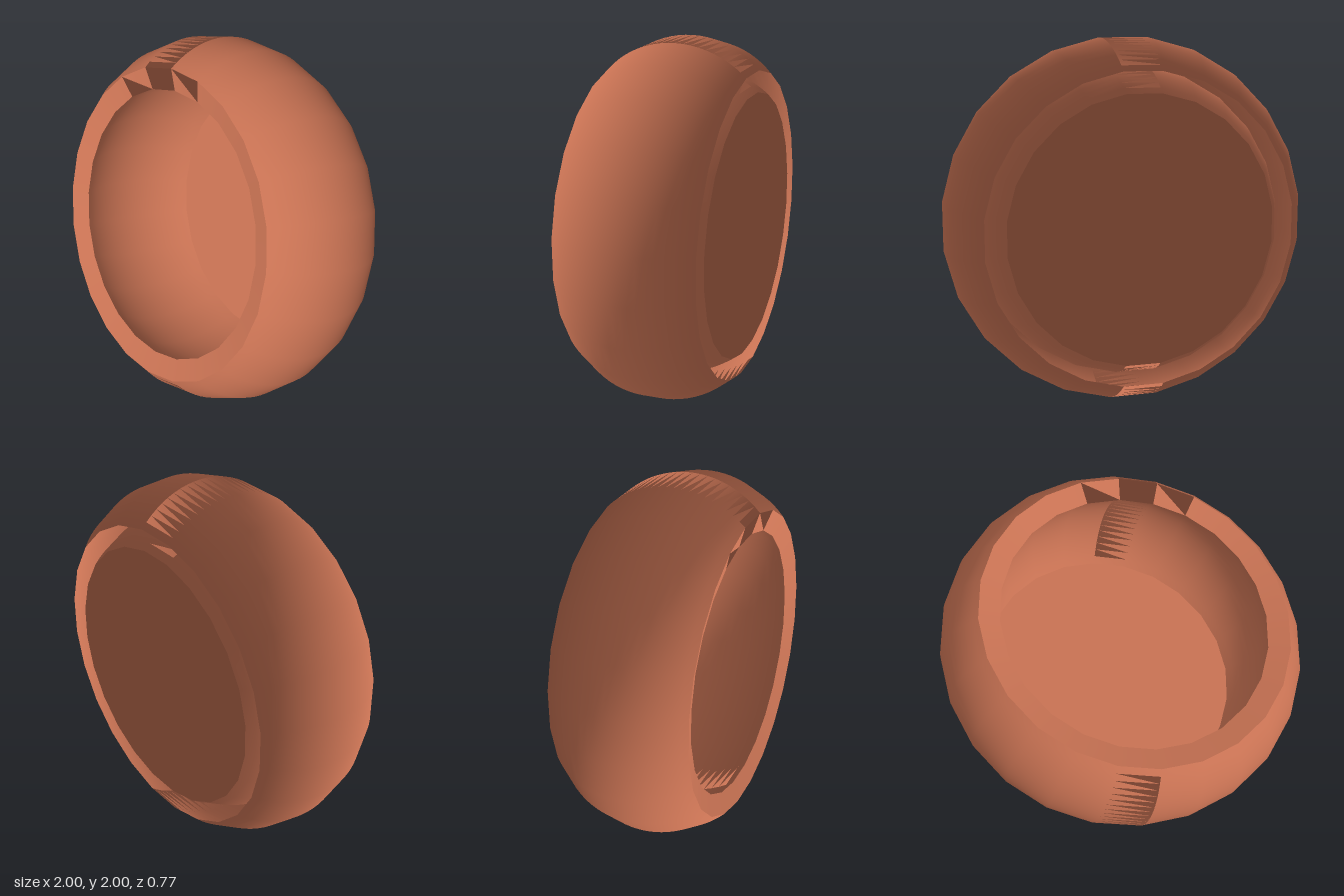
import * as THREE from 'three';

const SIDES = 24;
const STEP = Math.PI * 2 / SIDES;
const CORNER = 1 / Math.cos(STEP / 2); // flat-to-flat radius -> corner radius

// Circular bulge between two z values, as [radius, z] points
function arc(edgeRadius, midRadius, zStart, zEnd, count) {
  const halfWidth = Math.abs(zEnd - zStart) / 2;
  const rise = midRadius - edgeRadius;
  const radius = (halfWidth ** 2 + rise ** 2) / (2 * rise);
  const half = Math.asin(halfWidth / radius) * Math.sign(zEnd - zStart);
  const points = [];
  for (let i = 0; i <= count; i++) {
    const a = -half + 2 * half * i / count;
    points.push([
      midRadius - radius + radius * Math.cos(a),
      (zStart + zEnd) / 2 + radius * Math.sin(a),
    ]);
  }
  return points;
}

export function createModel() {
  const group = new THREE.Group();
  group.name = 'roundShell';
  const material = new THREE.MeshStandardMaterial({ color: 0xc87253, side: THREE.DoubleSide });
  const tilt = new THREE.Matrix4().makeRotationX(Math.PI / 2);

  // Turns a profile around y, then lays the axis along z.
  // Only positions are tilted: the shading keeps the upright normals.
  function ring(name, points) {
    const profile = points.map(([r, z]) => new THREE.Vector2(r * CORNER, z));
    const geometry = new THREE.LatheGeometry(profile, SIDES, STEP / 2);
    geometry.attributes.position.applyMatrix4(tilt);
    const mesh = new THREE.Mesh(geometry, material);
    mesh.name = name;
    mesh.position.y = 1;
    group.add(mesh);
  }

  // Bulged outer band, open towards the back
  ring('outerBand', arc(0.84, 1, -0.385, 0.385, 20));
  // Slightly dished front rim
  ring('frontRim', [[0.84, 0.385], [0.725, 0.35]]);
  // Inner bowl wall running from the rim back to the disc
  ring('innerWall', arc(0.725, 0.845, 0.35, -0.385, 16));
  // Flat disc closing the bowl
  ring('backDisc', [[0, -0.385], [0.725, -0.385]]);

  return group;
}
